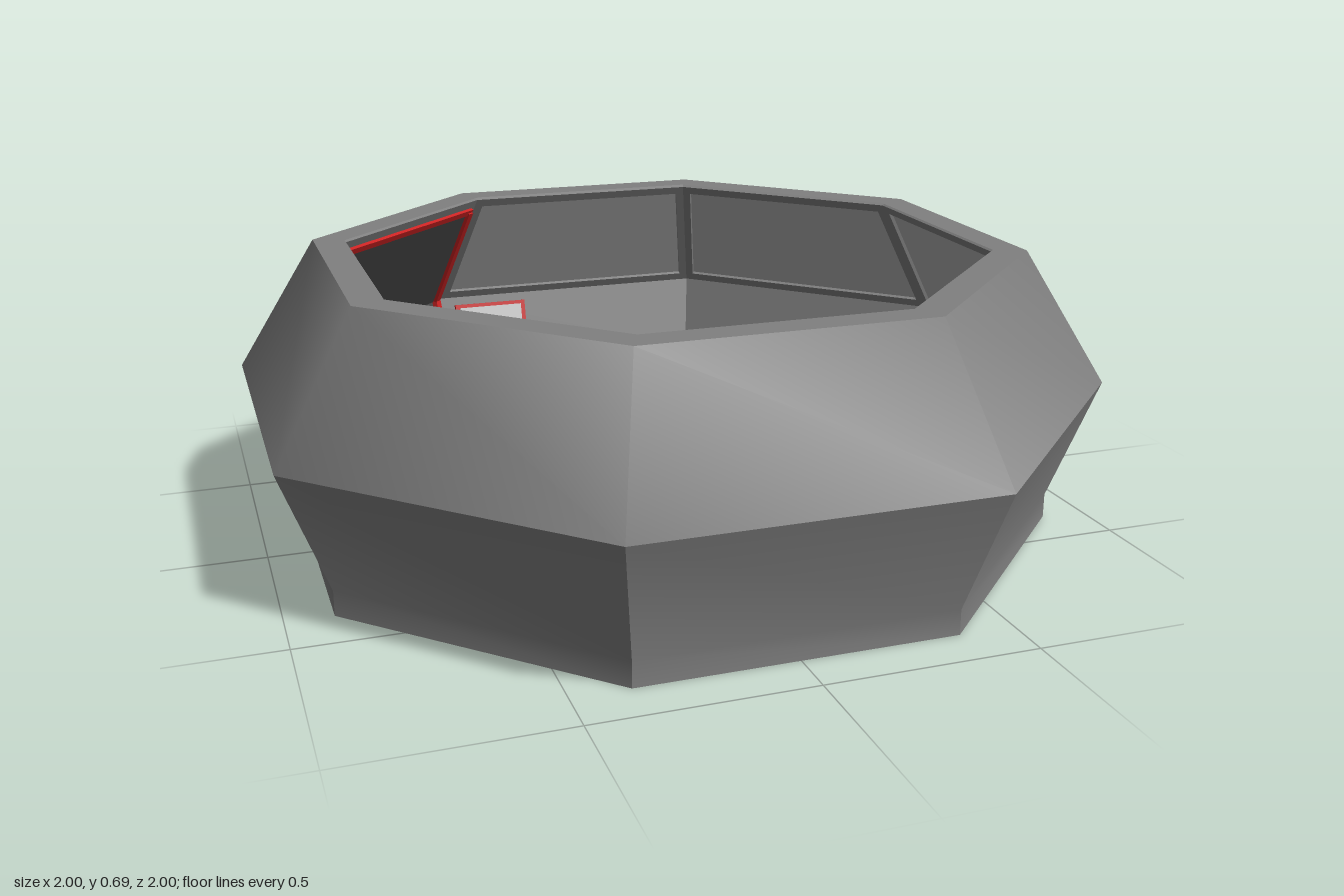
import * as THREE from 'three';
import { toCreasedNormals } from 'three/addons/utils/BufferGeometryUtils.js';

const mat = (color, flat = true) => new THREE.MeshStandardMaterial({ color, flatShading: flat, side: THREE.DoubleSide });
const grey = mat(0x808080), hullGrey = mat(0x808080, false), glass = mat(0xb0b0b0), light = mat(0xcccccc);
const red = mat(0xcc2222), darkRed = mat(0x701515), dark = mat(0x484848);
const T = Math.tan(Math.PI / 8);
const PIT = 0.075, FLOOR = 0.095, LEDGE = 0.145;

function add(parent, name, geo, material, x = 0, y = 0, z = 0) {
  const m = new THREE.Mesh(geo, material);
  m.name = name;
  m.position.set(x, y, z);
  parent.add(m);
  return m;
}

function sub(parent, name, x = 0, y = 0, z = 0, ry = 0) {
  const g = new THREE.Group();
  g.name = name;
  g.position.set(x, y, z);
  g.rotation.y = ry;
  parent.add(g);
  return g;
}

const box = (w, h, d) => new THREE.BoxGeometry(w, h, d);
const poly = (pts) => new THREE.Shape(pts.map(([x, y]) => new THREE.Vector2(x, y)));
const slab = (shape, depth) => new THREE.ExtrudeGeometry(shape, { depth, bevelEnabled: false });

// Octagonal band from [apothem, y] pairs
function octagon(profile) {
  const pts = profile.map(([r, y]) => new THREE.Vector2(r / Math.cos(Math.PI / 8), y));
  return new THREE.LatheGeometry(pts, 8, Math.PI / 8);
}

// Flat plate on the ground plane from [x, z] corners
const plate = (pts, h) => slab(poly(pts.map(([x, z]) => [x, -z])), h).rotateX(-Math.PI / 2);

// Group lying on an inner wall: x across, y up the slope, z into the room
function wallPlane(parent, name, [r0, y0], [r1, y1]) {
  const g = sub(parent, name, 0, y0, r0), len = Math.hypot(r1 - r0, y1 - y0);
  const dr = (r1 - r0) / len, dy = (y1 - y0) / len;
  g.quaternion.setFromRotationMatrix(new THREE.Matrix4().makeBasis(
    new THREE.Vector3(-1, 0, 0), new THREE.Vector3(0, dy, dr), new THREE.Vector3(0, dr, -dy)));
  return g;
}

// Corners of a wall trapezoid, inset by i
function trapezoid(w0, w1, h, i) {
  const at = (y) => w0 + (w1 - w0) * y / h - i * 1.05;
  return [[-at(i), i], [at(i), i], [at(h - i), h - i], [-at(h - i), h - i]];
}

function chair(parent, x, z, ry) {
  const g = sub(parent, 'chair', x, FLOOR, z, ry);
  add(g, 'chairFoot', new THREE.CylinderGeometry(0.012, 0.022, 0.045, 8), grey, 0, 0.022, 0);
  add(g, 'chairSeat', box(0.055, 0.018, 0.06), grey, 0, 0.052, 0.012);
  const back = new THREE.CylinderGeometry(0.038, 0.032, 0.055, 8, 1, false, Math.PI / 2, Math.PI);
  add(g, 'chairBack', back, darkRed, 0, 0.075, 0);
}

export function createModel() {
  const model = new THREE.Group();
  model.name = 'octagonalCommandRoom';

  // Hull shell, inner walls and the ledge around the floor
  const low = [0.89, LEDGE], mid = [0.945, 0.36], high = [0.75, 0.688];
  const hull = octagon([[0, 0], [0.89, 0], [0.89, 0.06], [1, 0.36], [0.81, 0.69]]);
  add(model, 'hull', toCreasedNormals(hull, 40 * Math.PI / 180), hullGrey);
  add(model, 'rimAndInnerWalls', octagon([[0.81, 0.69], [0.735, 0.69], high, mid, low]), grey);
  add(model, 'ledge', octagon([low, [0.74, LEDGE]]), red);
  add(model, 'ledgeStepAndPitFloor', octagon([[0.74, LEDGE], [0.74, PIT], [0, PIT]]), grey);

  // Eight wall bays: windows, doorway and screens
  const lenUp = Math.hypot(high[0] - mid[0], high[1] - mid[1]);
  const lenLow = Math.hypot(mid[0] - low[0], mid[1] - low[1]);
  for (let k = 0; k < 8; k++) {
    const bay = sub(model, 'wallBay', 0, 0, 0, k * Math.PI / 4);
    const upper = wallPlane(bay, 'upperWall', mid, high);
    const lower = wallPlane(bay, 'lowerWall', low, mid);
    const border = poly(trapezoid(mid[0] * T, high[0] * T, lenUp, 0));
    const opening = poly(trapezoid(mid[0] * T, high[0] * T, lenUp, 0.025));
    border.holes.push(opening);
    add(upper, 'windowFrame', slab(border, 0.012), grey);
    if (k === 5) {
      // Doorway panels and red surround
      const w0 = low[0] * T - 0.025, w1 = mid[0] * T - 0.025, w2 = high[0] * T - 0.015, top = lenUp - 0.035;
      add(upper, 'doorUpperPanel', new THREE.ShapeGeometry(poly([[-w1, 0], [w1, 0], [w2, top], [-w2, top]])), dark, 0, 0, 0.014);
      add(lower, 'doorLowerPanel', new THREE.ShapeGeometry(poly([[-w0, 0], [w0, 0], [w1, lenLow], [-w1, lenLow]])), dark, 0, 0, 0.008);
      add(lower, 'doorSill', box(2 * w0, 0.012, 0.03), grey, 0, 0.006, 0.015);
      add(upper, 'doorHeader', box(2 * w2, 0.018, 0.018), red, 0, top, 0.011);
      for (const s of [-1, 1]) {
        const jamb = [[s * w1, 0], [s * (w1 - 0.02), 0], [s * (w2 - 0.02), top], [s * w2, top]];
        add(upper, 'doorUpperJamb', slab(poly(jamb), 0.024), red);
        const post = [[s * w0, 0], [s * (w0 - 0.02), 0], [s * (w1 - 0.02), lenLow], [s * w1, lenLow]];
        add(lower, 'doorLowerJamb', slab(poly(post), 0.024), red);
      }
      add(bay, 'hatchSeam', box(0.65, 0.004, 0.006), dark, 0, 0.15, 0.923);
    } else {
      add(upper, 'windowPane', new THREE.ShapeGeometry(opening), glass, 0, 0, 0.003);
    }
    if (k === 4) {
      add(lower, 'screenFrame', box(0.21, 0.11, 0.016), red, -0.24, 0.135, 0.008);
      add(lower, 'screen', box(0.185, 0.09, 0.008), light, -0.24, 0.135, 0.015);
    }
    if (k === 6) {
      add(lower, 'sideScreenFrame', box(0.15, 0.1, 0.016), grey, 0.21, 0.135, 0.008);
      add(lower, 'sideScreen', box(0.13, 0.08, 0.008), glass, 0.21, 0.135, 0.015);
      add(bay, 'pitEdge', box(0.37, 0.02, 0.01), grey, 0, FLOOR - 0.005, 0.455);
    }
    // Low railings around the centre, open at the walkway and behind the main seat
    if (k % 2 || k === 2) {
      const rail = sub(bay, 'railing'), len = 0.38, h = 0.09;
      add(rail, 'railBack', box(len, h, 0.014), grey, 0, PIT + h / 2, 0.452);
      add(rail, 'railPad', box(len - 0.01, h - 0.008, 0.025), red, 0, PIT + h / 2 - 0.004, 0.432);
      for (const s of [-1, 1]) {
        const strut = add(rail, 'railStrut', box(0.006, h, 0.04), dark, s * len / 2, PIT + h / 2, 0.465);
        strut.rotation.y = s * 0.4;
      }
    }
  }

  // Red floor on both sides of the grey walkway
  const a = 0.74, b = 0.455;
  const half = [[0.16, -a], [a * T, -a], [a, -a * T], [a, a * T], [a * T, a], [0.16, a],
    [0.16, b], [b * T, b], [b, b * T], [b, -b * T], [b * T, -b], [0.16, -b]];
  for (const s of [-1, 1]) add(model, 'sideFloor', plate(half.map(([x, z]) => [s * x, z]), FLOOR - PIT), red, 0, PIT, 0);

  // Central platform
  const edge = [[-0.33, -0.14], [-0.22, -0.105], [-0.1, -0.105], [0.12, -0.22]];
  const outline = [...edge, ...edge.map(([x, z]) => [x, -z]).reverse()];
  add(model, 'centrePlatform', plate(outline, FLOOR - PIT), grey, 0, PIT, 0);
  add(model, 'platformStep', box(0.07, 0.02, 0.22), red, -0.365, PIT + 0.01, 0);

  // Main seat, facing +x
  const seat = sub(model, 'commandSeat', -0.235, FLOOR, 0);
  add(seat, 'seatBase', box(0.08, 0.04, 0.1), grey, 0, 0.02, 0);
  add(seat, 'seatCushion', box(0.09, 0.02, 0.12), red, 0, 0.05, 0);
  const back = add(seat, 'seatBack', box(0.018, 0.1, 0.12), grey, -0.05, 0.09, 0);
  back.rotation.z = 0.15;
  for (const s of [-1, 1]) {
    add(seat, 'armrest', box(0.09, 0.045, 0.03), grey, 0.005, 0.06, s * 0.08);
    add(seat, 'armrestPad', box(0.06, 0.006, 0.016), s > 0 ? red : light, 0.005, 0.085, s * 0.08);
  }

  // Front console with buttons and centre display
  const desk = sub(model, 'frontConsole', 0.103, FLOOR, 0);
  add(desk, 'consoleBase', box(0.04, 0.07, 0.28), grey, 0, 0.035, 0);
  const deskTop = add(desk, 'consoleTop', box(0.06, 0.014, 0.31), red, 0, 0.075, 0);
  deskTop.rotation.z = 0.15;
  for (const z of [-0.12, -0.08, 0.08, 0.12]) add(deskTop, 'consoleButtons', box(0.018, 0.008, 0.016), light, 0.006, 0.009, z);
  add(model, 'displayStand', box(0.03, 0.06, 0.03), grey, 0.02, FLOOR + 0.03, 0);
  add(model, 'display', box(0.04, 0.02, 0.07), dark, 0.04, FLOOR + 0.07, 0);

  // Crew chairs: two at the console, four on the side floor
  const crew = [[0.01, -0.1, 1.57], [0.01, 0.1, 1.57], [-0.32, -0.64, 2.9], [-0.68, -0.18, 1.9], [-0.68, 0.26, 1.2], [-0.24, 0.69, 0.1]];
  for (const [x, z, turn] of crew) chair(model, x, z, turn);

  return model;
}
